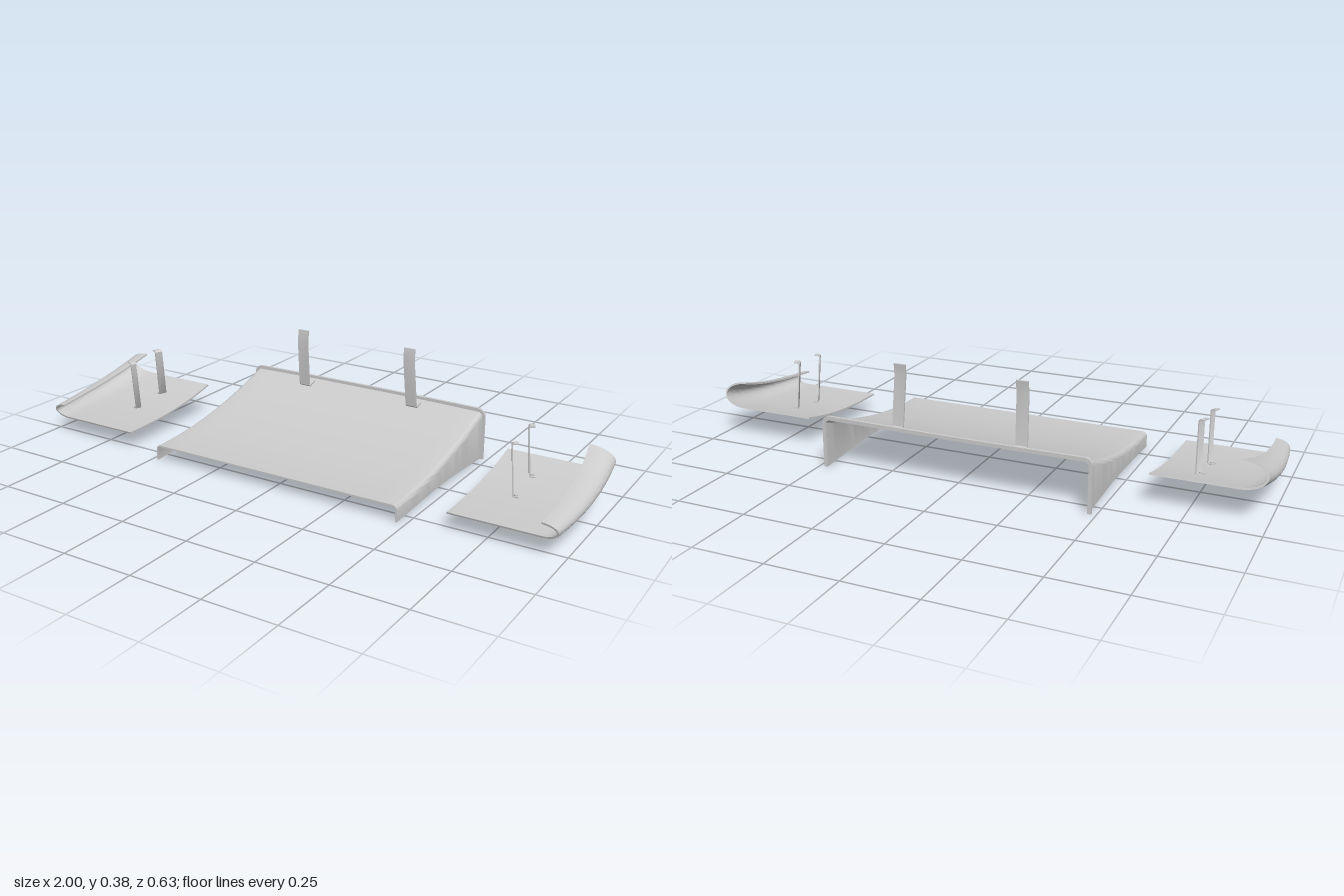
import * as THREE from 'three';
import { toCreasedNormals } from 'three/addons/utils/BufferGeometryUtils.js';

const material = new THREE.MeshStandardMaterial({ color: 0xcccccc, side: THREE.DoubleSide });

// Sheet of given thickness: lofts open 2D centre lines, place(i, u, v) puts them in space.
function sheet(name, lines, thickness, place) {
  const n = lines[0].length, size = 2 * n, pos = [], index = [];
  lines.forEach((line, i) => {
    const top = [], bottom = [];
    line.forEach(([u, v], j) => {
      const a = line[Math.max(j - 1, 0)], b = line[Math.min(j + 1, n - 1)];
      const len = Math.hypot(b[0] - a[0], b[1] - a[1]), h = thickness / 2 / len;
      const du = -(b[1] - a[1]) * h, dv = (b[0] - a[0]) * h;
      top.push([u + du, v + dv]);
      bottom.unshift([u - du, v - dv]);
    });
    for (const [u, v] of [...top, ...bottom]) pos.push(...place(i, u, v));
  });
  for (let i = 0; i < lines.length - 1; i++) {
    for (let j = 0; j < size; j++) {
      const a = i * size + j, b = i * size + (j + 1) % size;
      index.push(a, b, b + size, a, b + size, a + size);
    }
  }
  const last = (lines.length - 1) * size;
  for (let j = 0; j < n - 1; j++) {
    const a = j, b = size - 1 - j, c = b - 1, d = j + 1;
    index.push(a, b, c, a, c, d);
    index.push(last + a, last + c, last + b, last + a, last + d, last + c);
  }
  const geo = new THREE.BufferGeometry();
  geo.setAttribute('position', new THREE.Float32BufferAttribute(pos, 3));
  geo.setIndex(index);
  const mesh = new THREE.Mesh(toCreasedNormals(geo, 0.6), material);
  mesh.name = name;
  return mesh;
}

const lerp = THREE.MathUtils.lerp;
const range = (n, f) => Array.from({ length: n + 1 }, (_, i) => f(i / n));

// Flat metal strip bent along a (z, y) profile; lean shears it sideways.
const strip = (name, profile, width, thickness, lean = 0) =>
  sheet(name, [profile, profile], thickness, (i, u, v) => [(i - 0.5) * width + lean * v, v, u]);

function bolt(x, y, z) {
  const mesh = new THREE.Mesh(new THREE.CylinderGeometry(0.006, 0.006, 0.012, 10), material);
  mesh.name = 'bolt';
  mesh.position.set(x, y, z);
  return mesh;
}

// Channel outline: up one fin, round the corner, over the top and down the other fin.
function channel(halfWidth, bottom, top, r) {
  const left = [[-halfWidth, bottom]];
  for (let k = 0; k <= 6; k++) {
    const a = k / 6 * Math.PI / 2;
    left.push([-halfWidth + r - r * Math.cos(a), top - r + r * Math.sin(a)]);
  }
  const across = range(16, (s) => [lerp(-halfWidth + r, halfWidth - r, s), top]).slice(1, -1);
  return [...left, ...across, ...left.map(([x, y]) => [-x, y]).reverse()];
}

const panelTop = (z) => 0.057 + 0.115 * Math.pow(Math.max(0, (0.315 - z) / 0.62), 1.9);
const finBottom = (z) => z > 0.06 ? lerp(0.015, 0.005, (z - 0.06) / 0.255)
  : z > -0.07 ? 0.015 : lerp(0.015, 0.002, (-0.07 - z) / 0.235);

function createDiffuser() {
  const group = new THREE.Group();
  group.name = 'diffuser';
  const zs = range(24, (s) => lerp(0.315, -0.305, s));
  group.add(sheet('panelWithFins',
    zs.map((z) => channel(0.472, finBottom(z), panelTop(z), 0.014)), 0.006, (i, x, y) => [x, y, zs[i]]));

  // Thick rim round the rear edge, bowed backwards in the middle
  const rim = channel(0.477, 0, 0.179, 0.02);
  group.add(sheet('rearRim', [rim, rim], 0.013, (i, x, y) =>
    [x, y, (i ? -0.309 : -0.299) - 0.007 * Math.max(0, 1 - (x / 0.477) ** 2)]));

  // Upright hangers
  for (const s of [-1, 1]) {
    const hanger = strip('rearHanger',
      [[-0.285, 0.171], [-0.256, 0.162], [-0.249, 0.166], [-0.231, 0.34], [-0.236, 0.38]], 0.042, 0.006, -0.025);
    hanger.scale.x = s;
    hanger.position.x = s * 0.228;
    group.add(hanger, bolt(s * 0.225, 0.161, -0.268));
  }
  return group;
}

function createSidePanel() {
  const group = new THREE.Group();
  const panelY = (t) => 0.061 + 0.05 * Math.pow(t, 2.4);
  const ts = range(24, (t) => t);

  // Flat floor that rolls up into a curled outer edge, growing to the rear
  const lines = ts.map((t) => {
    const z = lerp(0.28, -0.177, t), y = panelY(t);
    const w = lerp(0.05, 0.085, t), h = lerp(0.05, 0.085, t);
    const cx = 0.997 - 0.02 * (z / 0.28) ** 2 - w;
    const floor = range(6, (s) => [lerp(0.625, cx, s), y]).slice(0, -1);
    const curl = range(16, (s) => {
      const a = lerp(-Math.PI / 2, Math.PI * 0.49, s);
      return [cx + w * Math.cos(a), y + h / 2 + h / 2 * Math.sin(a)];
    });
    return [...floor, ...curl];
  });
  group.add(sheet('curledPanel', lines, 0.006, (i, x, y) =>
    [x, y, lerp(0.28, -0.177, ts[i]) + 0.3 * (y - panelY(ts[i]))]));

  // Slim angled brackets: x, z, height of the top, width
  for (const [x, z, top, width] of [[0.755, 0.085, 0.255, 0.021], [0.752, -0.055, 0.266, 0.029]]) {
    const y = panelY((0.28 - z) / 0.457) + 0.005, h = top - y;
    const bracket = strip('sideBracket',
      [[-0.018, 0], [-0.003, 0], [0, 0.004], [0.012, h - 0.004], [0.009, h - 0.001], [-0.006, h]], width, 0.004, 0.09);
    bracket.position.set(x, y, z);
    bracket.rotation.y = -1.15;
    group.add(bracket, bolt(x + 0.009, y, z - 0.004));
  }
  return group;
}

export function createModel() {
  const model = new THREE.Group();
  model.name = 'underbodyPanels';
  model.add(createDiffuser());
  for (const s of [1, -1]) {
    const side = createSidePanel();
    side.name = s > 0 ? 'leftPanel' : 'rightPanel';
    side.scale.x = s;
    model.add(side);
  }
  return model;
}
